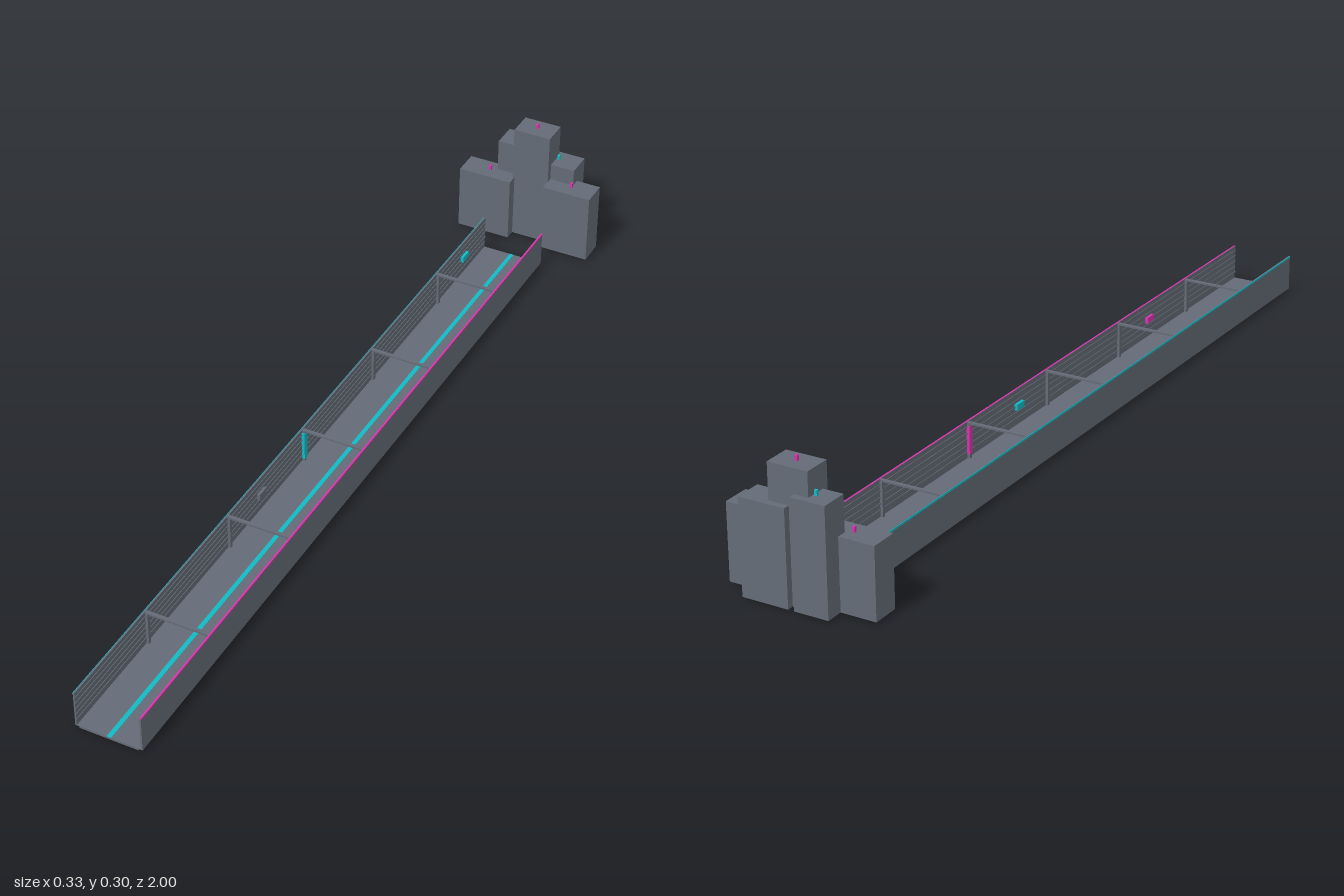
import * as THREE from 'three';

export function createModel() {
  const model = new THREE.Group();
  const mat = (name, color) => {
    const m = new THREE.MeshStandardMaterial({ color });
    m.name = name;
    return m;
  };
  const slate = mat('slate', 0x646b76);
  const magenta = mat('magenta', 0xd834ac);
  const cyan = mat('cyan', 0x12bac4);

  // Box given by its limits on each axis
  const box = (name, material, [x0, x1], [y0, y1], [z0, z1], parent = model) => {
    const mesh = new THREE.Mesh(new THREE.BoxGeometry(x1 - x0, y1 - y0, z1 - z0), material);
    mesh.position.set((x0 + x1) / 2, (y0 + y1) / 2, (z0 + z1) / 2);
    mesh.name = name;
    parent.add(mesh);
  };

  // Trench, built around its own centre line
  const trench = new THREE.Group();
  trench.name = 'trench';
  trench.position.x = 0.003;
  model.add(trench);
  const length = [-0.835, 1];
  const frames = [-0.575, -0.245, 0.08, 0.405, 0.735];
  box('floorBase', slate, [-0.066, 0.066], [0, 0.004], length, trench);
  box('floor', slate, [-0.072, 0.072], [0.004, 0.005], length, trench);
  box('floorLine', cyan, [-0.005, 0.005], [0.005, 0.0056], length, trench);

  for (const side of [-1, 1]) {
    const span = (a, b) => [Math.min(side * a, side * b), Math.max(side * a, side * b)];
    box('wall', slate, span(0.072, 0.0755), [0.004, 0.0875], length, trench);
    // Wall ledges
    for (const y of [0.02, 0.034, 0.048, 0.062, 0.076]) {
      box('wallLedge', slate, span(0.0705, 0.072), [y - 0.0015, y + 0.0015], length, trench);
    }
    // Frame posts
    for (const z of frames) {
      box('post', slate, span(0.066, 0.072), [0.004, 0.083], [z - 0.004, z + 0.004], trench);
    }
  }
  // Overhead beams
  for (const z of frames) {
    box('beam', slate, [-0.072, 0.072], [0.083, 0.0872], [z - 0.004, z + 0.004], trench);
  }

  // Light strips on the outer upper edges of the walls
  box('rightTrim', cyan, [-0.0765, -0.0755], [0.0835, 0.0878], length, trench);
  box('leftTrim', magenta, [0.0725, 0.0765], [0.0845, 0.0878], length, trench);

  // Wall signs: side, material, centre z, width, y range
  const signs = [
    [-1, cyan, -0.716, 0.03, [0.042, 0.056]],
    [-1, cyan, 0.08, 0.013, [0.012, 0.08]],
    [-1, slate, 0.27, 0.03, [0.042, 0.056]],
    [1, magenta, -0.245, 0.011, [0.015, 0.078]],
    [1, cyan, -0.04, 0.03, [0.042, 0.056]],
    [1, magenta, 0.55, 0.03, [0.042, 0.056]],
  ];
  for (const [side, material, z, width, y] of signs) {
    const x = side < 0 ? [-0.072, -0.065] : [0.065, 0.072];
    box('wallSign', material, x, y, [z - width / 2, z + width / 2], trench);
  }

  // Towers with a beacon on each roof: x range, height, z range, beacon colour
  const towers = [
    ['centreTower', [-0.042, 0.049], 0.292, [-0.985, -0.923], magenta],
    ['rightTower', [-0.168, -0.037], 0.161, [-0.96, -0.897], magenta],
    ['leftTower', [0.048, 0.167], 0.173, [-0.96, -0.897], magenta],
    ['backRightTower', [-0.088, -0.01], 0.239, [-1, -0.938], cyan],
    ['backLeftTower', [0.003, 0.108], 0.213, [-1, -0.938], cyan],
  ];
  for (const [name, x, top, z, material] of towers) {
    box(name, slate, x, [0.004, top], z);
    const cx = (x[0] + x[1]) / 2, cz = (z[0] + z[1]) / 2;
    box('beacon', material, [cx - 0.003, cx + 0.003], [top, top + 0.012], [cz - 0.003, cz + 0.003]);
  }
  return model;
}
